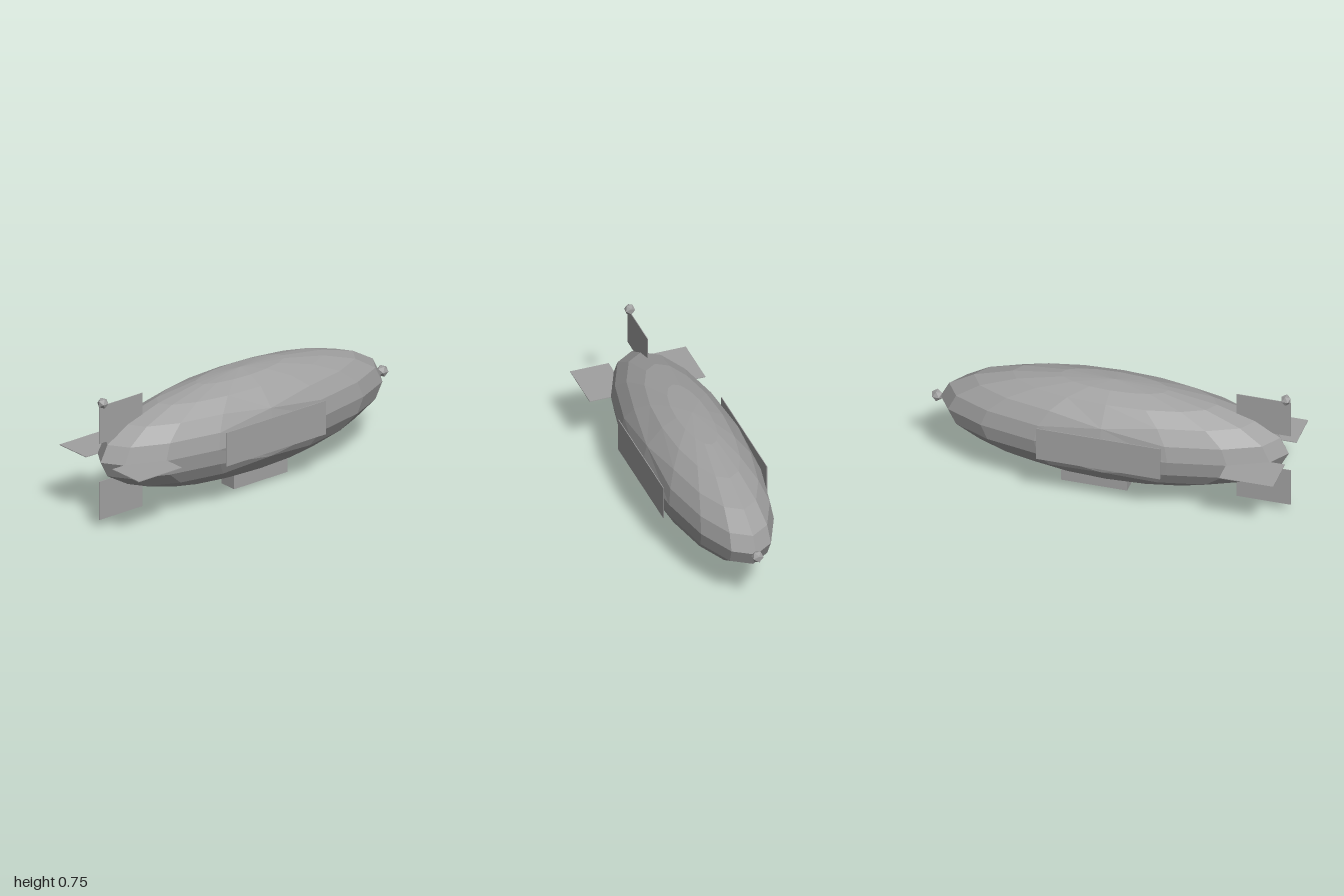
import * as THREE from 'three';

const HULL_Y = 0.377, HULL_Z = 0.02, R = 0.294, HALF_LENGTH = 0.97;

export function createModel() {
  const model = new THREE.Group();
  model.name = 'airship';
  const grey = new THREE.MeshStandardMaterial({ color: 0xa0a0a0, flatShading: true });
  grey.name = 'grey';

  function add(name, geometry, x, y, z) {
    const mesh = new THREE.Mesh(geometry, grey);
    mesh.name = name;
    mesh.position.set(x, y, z);
    model.add(mesh);
    return mesh;
  }

  // Box given by its limits on each axis
  function box(name, [x0, x1], [y0, y1], [z0, z1]) {
    add(name, new THREE.BoxGeometry(x1 - x0, y1 - y0, z1 - z0),
      (x0 + x1) / 2, (y0 + y1) / 2, (z0 + z1) / 2);
  }

  // Hull: faceted ellipsoid, with two rings merged at the widest points of each flank
  const hull = new THREE.SphereGeometry(1, 16, 10);
  const p = hull.attributes.position;
  for (let i = 0; i < p.count; i++) {
    const y = p.getY(i);
    if (Math.abs(p.getZ(i)) < 0.01 && Math.abs(y) > 0.2 && Math.abs(y) < 0.7) {
      p.setXYZ(i, Math.sign(p.getX(i)) * 0.884, Math.sign(y) * 0.475, 0);
    }
  }
  hull.scale(R, R, HALF_LENGTH);
  hull.computeVertexNormals();
  add('hull', hull, 0, HULL_Y, HULL_Z);

  // Gondola under the belly
  box('gondola', [-0.053, 0.053], [0, 0.082], [-0.265, 0.105]);

  // Tail fins
  const t = 0.002, finZ = [0.7, 1];
  box('upperFin', [-t, t], [0.49, 0.705], finZ);
  box('lowerFin', [-t, t], [0.048, 0.27], finZ);
  box('leftFin', [0.11, 0.33], [HULL_Y - t, HULL_Y + t], finZ);
  box('rightFin', [-0.33, -0.11], [HULL_Y - t, HULL_Y + t], finZ);

  // Flat panels on the flanks
  for (const [name, x] of [['leftPanel', 0.294], ['rightPanel', -0.294]]) {
    box(name, [x - t, x + t], [0.28, 0.475], [-0.33, 0.36]);
  }

  // Small faceted lamps at the top fin and the far tip
  add('finLamp', new THREE.IcosahedronGeometry(0.031, 0), 0, 0.719, 0.974);
  add('tipLamp', new THREE.IcosahedronGeometry(0.034, 0), 0, HULL_Y, -0.97);

  return model;
}
